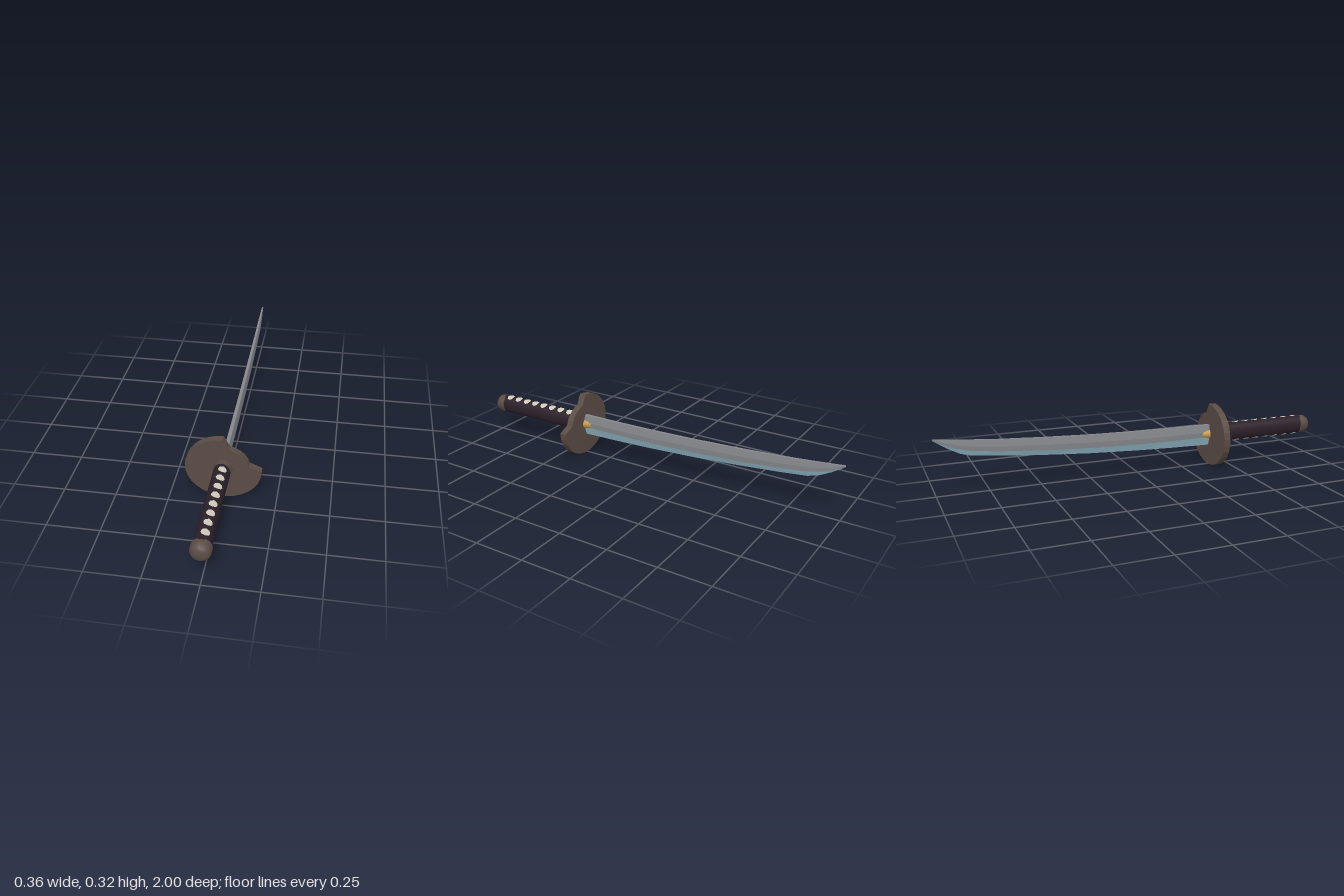
import * as THREE from 'three';

const mat = (name, color, extra = {}) => {
  const m = new THREE.MeshStandardMaterial({ color, ...extra });
  m.name = name;
  return m;
};

const CY = 0.164; // height of the grip axis

export function createModel() {
  const group = new THREE.Group();
  const bronze = mat('dark bronze', 0x5b4c45);
  const wrap = mat('dark wrap', 0x2b2029);
  const cream = mat('cream ray skin', 0xcfcbbb);
  const steel = mat('steel', 0x85878b);
  const edgeSteel = mat('blue edge steel', 0x8fb6c4);
  const gold = mat('gold', 0xc79b45);

  const add = (name, geometry, material, parent = group) => {
    const mesh = new THREE.Mesh(geometry, material);
    mesh.name = name;
    parent.add(mesh);
    return mesh;
  };

  // Elliptical tube along z: rFront is the scale at the +z end, rBack at the -z end
  const tube = (name, material, rx, ry, z0, z1, sides, rFront = 1, rBack = 1) => {
    const g = new THREE.CylinderGeometry(rFront, rBack, z1 - z0, sides);
    g.rotateX(Math.PI / 2).scale(rx, ry, 1).translate(0, CY, (z0 + z1) / 2);
    return add(name, g, material);
  };

  // Guard: a disc with one quarter cut back to a smaller arc
  const outline = [];
  const arc = (rx, ry, from, to, n) => {
    for (let i = 0; i <= n; i++) {
      const a = THREE.MathUtils.degToRad(from + ((to - from) * i) / n);
      outline.push(new THREE.Vector2(rx * Math.cos(a), 0.161 + ry * Math.sin(a)));
    }
  };
  arc(0.178, 0.161, 90, 360, 22);
  arc(0.123, 0.112, 13, 77, 5);
  const guard = new THREE.ExtrudeGeometry(new THREE.Shape(outline), { depth: 0.034, bevelEnabled: false });
  add('guard', guard.translate(0, 0, 0.4), bronze);

  // Grip, collar and blade collar
  tube('grip', wrap, 0.039, 0.048, 0.45, 0.95, 24);
  tube('gripCollar', bronze, 0.044, 0.049, 0.43, 0.462, 20);
  tube('bladeCollar', gold, 0.029, 0.027, 0.36, 0.402, 10, 1, 0.68);

  // Rounded pommel
  const pommelProfile = [[0, 0.94], [0.044, 0.94], [0.047, 0.945], [0.047, 0.965], [0.044, 0.98], [0.036, 0.991], [0.021, 0.998], [0, 1]]
    .map(([r, z]) => new THREE.Vector2(r, z));
  add('pommel', new THREE.LatheGeometry(pommelProfile, 16).rotateX(Math.PI / 2).translate(0, CY, 0), bronze);

  // Ray skin openings curved over the top and bottom of the grip
  const openings = new THREE.Group();
  openings.name = 'gripOpenings';
  group.add(openings);
  for (const turn of [0, Math.PI]) {
    for (let i = 0; i < 8; i++) {
      const g = new THREE.CircleGeometry(0.02, 8);
      const p = g.attributes.position;
      for (let k = 0; k < p.count; k++) {
        const a = 0.25 + turn + p.getX(k) / 0.039;
        p.setXYZ(k, 0.0415 * Math.sin(a), CY + 0.0505 * Math.cos(a), 0.5 + i * 0.0583 - p.getY(k));
      }
      g.computeVertexNormals();
      add('gripOpening', g, cream, openings);
    }
  }

  // Blade stations: z, spine, ridge, bevel and edge heights, half width
  const stations = [
    [0.41, 0.213, 0.174, 0.147, 0.103, 0.016],
    [0.2, 0.213, 0.174, 0.147, 0.108, 0.015],
    [0, 0.216, 0.177, 0.149, 0.115, 0.014],
    [-0.25, 0.223, 0.186, 0.158, 0.128, 0.013],
    [-0.5, 0.235, 0.199, 0.172, 0.147, 0.012],
    [-0.7, 0.247, 0.214, 0.19, 0.166, 0.011],
    [-0.83, 0.258, 0.228, 0.206, 0.181, 0.01],
    [-0.88, 0.263, 0.237, 0.218, 0.196, 0.009],
    [-0.94, 0.269, 0.252, 0.24, 0.228, 0.007],
    [-1, 0.276, 0.274, 0.271, 0.268, 0.004],
  ];
  const rail = (col, widthFactor) => stations.map((s) => [s[5] * widthFactor, s[col], s[0]]);

  // Flat-faced strip between two rails
  const strip = (a, b, flip) => {
    const v = [];
    for (let i = 0; i + 1 < a.length; i++) {
      const tris = [[a[i], b[i], b[i + 1]], [a[i], b[i + 1], a[i + 1]]];
      for (const [p, q, r] of tris) v.push(...p, ...(flip ? r : q), ...(flip ? q : r));
    }
    const g = new THREE.BufferGeometry();
    g.setAttribute('position', new THREE.Float32BufferAttribute(v, 3));
    g.computeVertexNormals();
    return g;
  };

  const blade = new THREE.Group();
  blade.name = 'blade';
  group.add(blade);
  add('bladeSpine', strip(rail(1, -0.6), rail(1, 0.6)), steel, blade);
  for (const s of [1, -1]) {
    const flip = s < 0;
    add('bladeUpperSide', strip(rail(1, 0.6 * s), rail(2, s), flip), steel, blade);
    add('bladeLowerSide', strip(rail(2, s), rail(3, 0.85 * s), flip), steel, blade);
    add('bladeEdge', strip(rail(3, 0.85 * s), rail(4, 0), flip), edgeSteel, blade);
  }
  return group;
}
